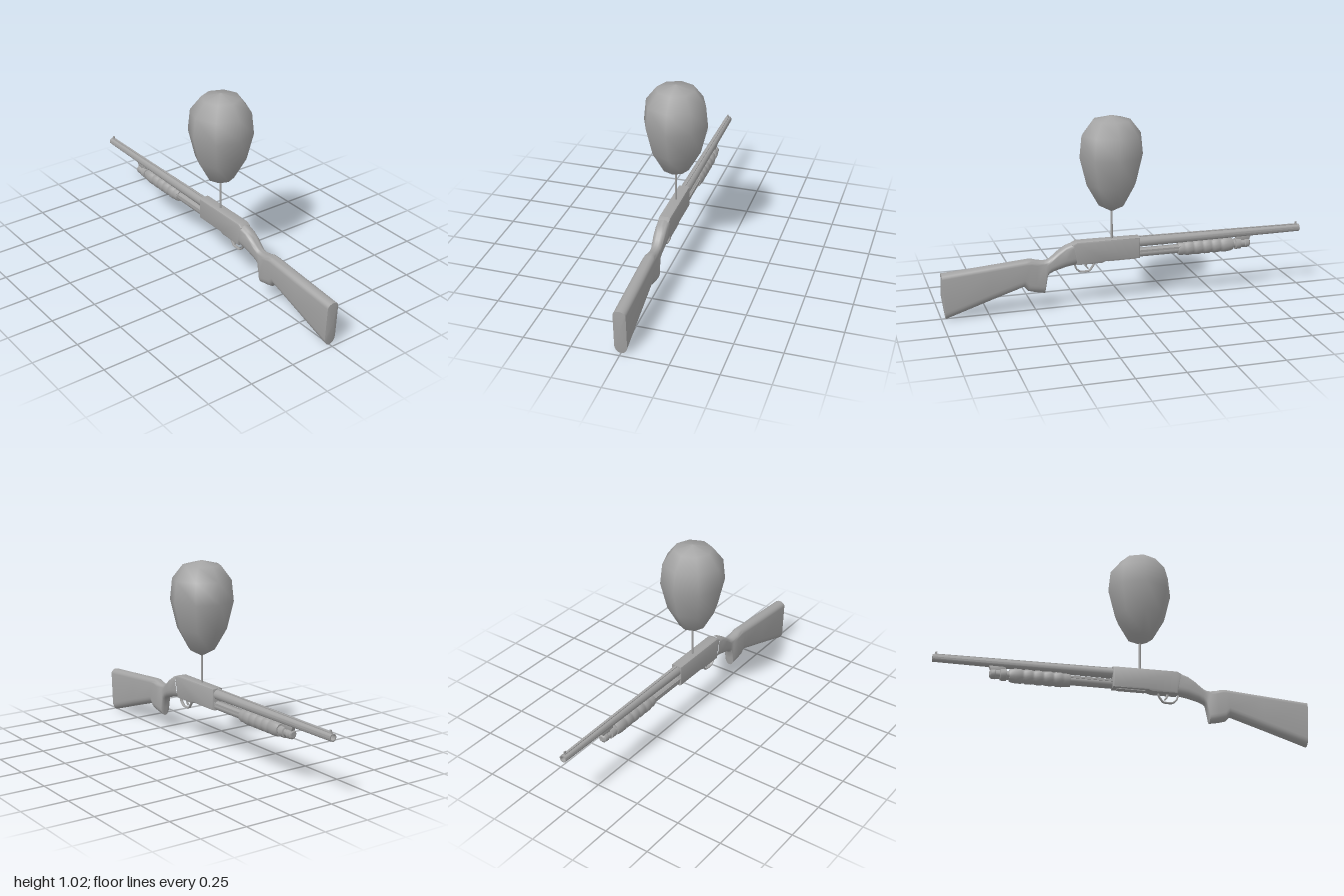
import * as THREE from 'three';
import { toCreasedNormals } from 'three/addons/utils/BufferGeometryUtils.js';

export function createModel() {
  const model = new THREE.Group();
  const grey = new THREE.MeshStandardMaterial({ color: 0xa3a3a3 });
  grey.name = 'plain grey';

  function add(name, geometry, x = 0, y = 0, z = 0) {
    const mesh = new THREE.Mesh(geometry, grey);
    mesh.name = name;
    mesh.position.set(x, y, z);
    model.add(mesh);
    return mesh;
  }
  const points = (list) => list.map(([a, b]) => new THREE.Vector2(a, b));

  // Round part turned about the x axis; profile is [x, radius] with x rising outside
  function turned(name, profile, y, sides = 12) {
    const geo = new THREE.LatheGeometry(points(profile.map(([x, r]) => [r, x])), sides);
    geo.rotateZ(-Math.PI / 2);
    return add(name, toCreasedNormals(geo, 0.7), 0, y, 0);
  }

  // Side outline extruded across z with a bevel
  function plate(name, outline, halfWidth, bevel) {
    const geo = new THREE.ExtrudeGeometry(new THREE.Shape(points(outline)), {
      depth: 2 * (halfWidth - bevel), bevelEnabled: bevel > 0, bevelSize: bevel,
      bevelThickness: bevel, bevelOffset: -bevel, bevelSegments: 2,
    });
    geo.translate(0, 0, bevel - halfWidth);
    return add(name, toCreasedNormals(geo, 0.6), 0, 0, 0);
  }

  // Balloon and its string
  const balloon = points([[0, 0.513], [0.07, 0.55], [0.135, 0.665], [0.172, 0.815],
    [0.16, 0.93], [0.102, 1.005], [0, 1.03]]);
  add('balloon', new THREE.LatheGeometry(balloon, 8), 0.08, 0, 0);
  add('balloonStick', new THREE.CylinderGeometry(0.006, 0.006, 0.17, 8), 0.08, 0.437, 0);

  // Tapered barrel with an open bore
  turned('barrel', [[-0.85, 0], [-0.85, 0.014], [-1, 0.014], [-1, 0.02], [-0.06, 0.028]], 0.332, 14);
  const rib = add('barrelRib', new THREE.BoxGeometry(0.92, 0.006, 0.012), -0.53, 0.356, 0);
  rib.rotation.z = 0.0086;
  add('frontSight', new THREE.BoxGeometry(0.01, 0.018, 0.006), -0.982, 0.358, 0);

  // Tube under the barrel, with end cap and barrel bracket
  const tubeY = 0.271;
  turned('underTube', [[-0.69, 0], [-0.69, 0.023], [-0.06, 0.024]], tubeY);
  turned('tubeCap', [[-0.708, 0], [-0.708, 0.015], [-0.7, 0.024], [-0.678, 0.026], [-0.672, 0.02]], tubeY);
  turned('tubeCollar', [[-0.656, 0.02], [-0.652, 0.03], [-0.622, 0.031], [-0.618, 0.02]], tubeY);
  plate('barrelBracket', [[-0.715, 0.318], [-0.7, 0.285], [-0.63, 0.285], [-0.625, 0.318]], 0.011, 0.002);

  // Sliding grip with shallow grooves
  const grip = [[-0.607, 0.022], [-0.607, 0.032], [-0.595, 0.036]];
  for (let i = 0; i < 5; i++) {
    const x = -0.575 + i * 0.052;
    grip.push([x, 0.039], [x + 0.03, 0.039], [x + 0.036, 0.036], [x + 0.046, 0.036]);
  }
  grip.push([-0.3, 0.035], [-0.29, 0.032], [-0.29, 0.022]);
  turned('slidingGrip', grip, tubeY, 14).scale.z = 0.88;
  for (const side of [-1, 1]) {
    add('slideBar', new THREE.BoxGeometry(0.24, 0.012, 0.004), -0.18, 0.284, side * 0.024);
  }

  // Main body and loading plate underneath
  plate('body', [[-0.07, 0.246], [0.12, 0.246], [0.14, 0.238], [0.277, 0.238],
    [0.302, 0.352], [0.275, 0.366], [-0.07, 0.364]], 0.032, 0.01);
  add('loadingPlate', new THREE.BoxGeometry(0.15, 0.006, 0.034), 0.03, 0.245, 0);

  // Trigger and its guard
  const guardPath = new THREE.CatmullRomCurve3([[0.175, 0.245], [0.183, 0.222], [0.206, 0.194],
    [0.252, 0.193], [0.276, 0.212], [0.285, 0.24]].map(([x, y]) => new THREE.Vector3(x, y, 0)),
  false, 'catmullrom', 0.3);
  const guard = add('triggerGuard', new THREE.TubeGeometry(guardPath, 20, 0.005, 6));
  guard.scale.z = 2;
  plate('trigger', [[0.222, 0.245], [0.218, 0.222], [0.208, 0.208], [0.214, 0.205],
    [0.228, 0.22], [0.236, 0.245]], 0.005, 0.001);

  // Stock: rounded sections, each given as top x, y, bottom x, y, half width
  const sections = [
    [0.297, 0.36, 0.275, 0.238, 0.033], [0.335, 0.347, 0.335, 0.228, 0.033],
    [0.37, 0.324, 0.398, 0.211, 0.031], [0.4, 0.3, 0.424, 0.198, 0.028],
    [0.425, 0.282, 0.436, 0.182, 0.027], [0.442, 0.277, 0.441, 0.14, 0.027],
    [0.458, 0.276, 0.449, 0.094, 0.028], [0.49, 0.281, 0.5, 0.104, 0.03],
    [0.52, 0.29, 0.54, 0.115, 0.031], [0.545, 0.29, 0.562, 0.14, 0.032],
    [0.75, 0.273, 0.75, 0.08, 0.033], [0.992, 0.254, 0.978, 0.005, 0.033],
  ];
  const steps = 5;
  const ringSize = 4 * steps + 2;
  const verts = [];
  const faces = [];
  for (const [tx, ty, bx, by, w] of sections) {
    const length = Math.hypot(bx - tx, by - ty);
    const half = [];
    for (let k = 0; k <= steps; k++) {
      const a = (k / steps) * Math.PI / 2;
      half.push([0.026 * (1 - Math.cos(a)) / length, w * Math.sin(a)]);
    }
    for (let k = steps; k >= 0; k--) {
      const a = (k / steps) * Math.PI / 2;
      half.push([1 - 0.042 * (1 - Math.cos(a)) / length, w * Math.sin(a)]);
    }
    const ring = [...half, ...half.slice(1, -1).reverse().map(([t, z]) => [t, -z])];
    for (const [t, z] of ring) verts.push(tx + (bx - tx) * t, ty + (by - ty) * t, z);
  }
  for (let i = 0; i < sections.length - 1; i++) {
    for (let j = 0; j < ringSize; j++) {
      const a = i * ringSize + j;
      const c = i * ringSize + (j + 1) % ringSize;
      faces.push(a, c, a + ringSize, a + ringSize, c, c + ringSize);
    }
  }
  // Slightly domed butt end
  const last = (sections.length - 1) * ringSize;
  const centre = verts.length / 3;
  verts.push(0.998, 0.14, 0);
  for (let j = 0; j < ringSize; j++) faces.push(centre, last + j, last + (j + 1) % ringSize);
  const stock = new THREE.BufferGeometry();
  stock.setAttribute('position', new THREE.Float32BufferAttribute(verts, 3));
  stock.setIndex(faces);
  add('stock', toCreasedNormals(stock, 0.8));

  return model;
}
